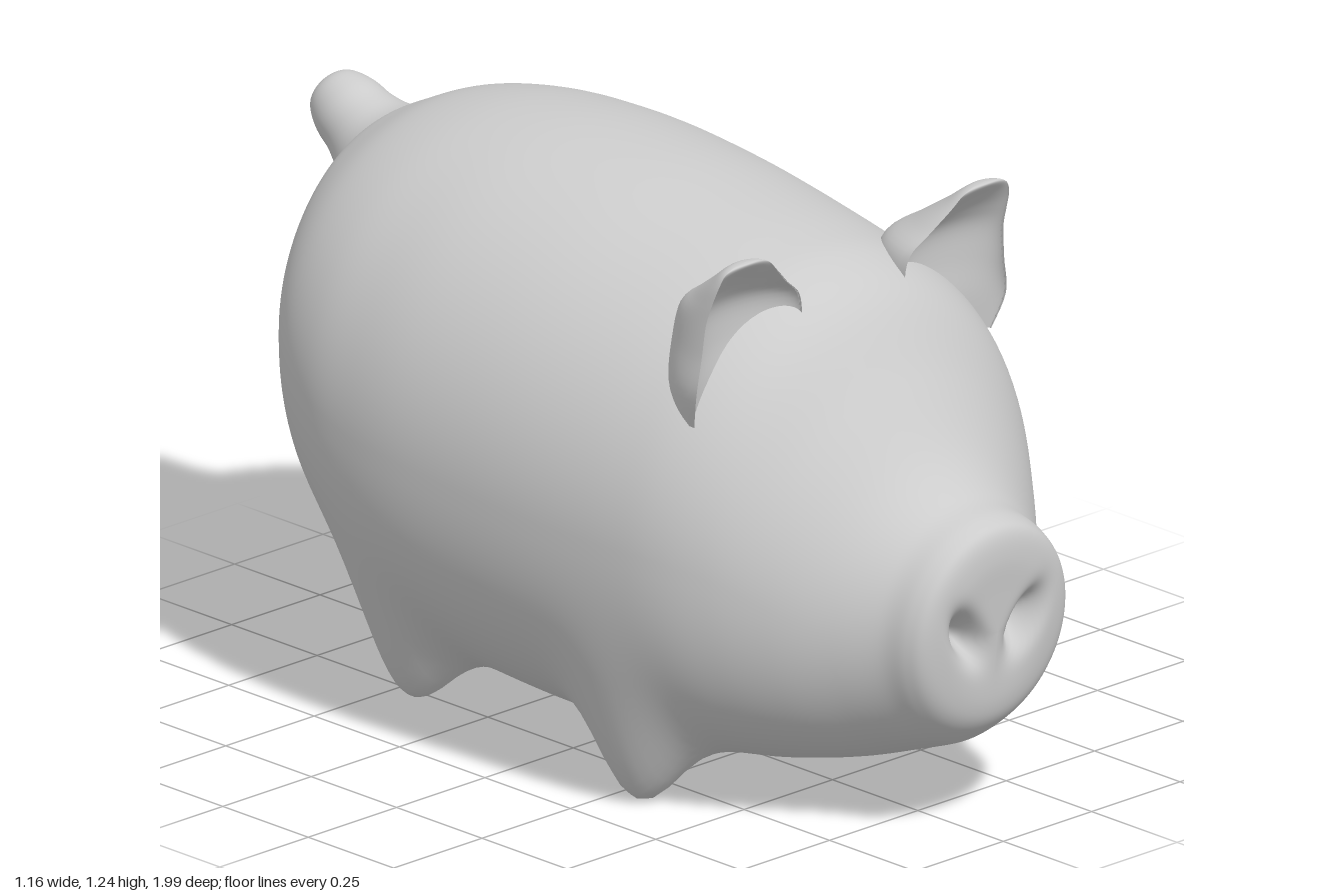
import * as THREE from 'three';

const material = new THREE.MeshStandardMaterial({ color: 0xcccccc, side: THREE.DoubleSide });
const { smoothstep, lerp } = THREE.MathUtils;

// Smoothly resample a table of cross-section rows, column by column
function resample(rows, steps) {
  const columns = rows[0].map((_, k) => new THREE.SplineCurve(rows.map(r => new THREE.Vector2(r[k], 0))));
  const count = (rows.length - 1) * steps;
  return Array.from({ length: count + 1 }, (_, i) => columns.map(c => c.getPoint(i / count).x));
}

// Skin closed rings; pointAt(row, angle) gives each corner as [x, y, z]
function loft(name, rows, segments, pointAt) {
  const positions = [], index = [];
  rows.forEach((row, i) => {
    for (let j = 0; j < segments; j++) {
      positions.push(...pointAt(row, (j / segments) * Math.PI * 2));
      if (i === rows.length - 1) continue;
      const a = i * segments + j, b = i * segments + (j + 1) % segments;
      index.push(a, a + segments, b, b, a + segments, b + segments);
    }
  });
  const geometry = new THREE.BufferGeometry();
  geometry.setAttribute('position', new THREE.Float32BufferAttribute(positions, 3));
  geometry.setIndex(index);
  geometry.computeVertexNormals();
  const mesh = new THREE.Mesh(geometry, material);
  mesh.name = name;
  return mesh;
}

// Body sections from snout to rump: z, half width, top, bottom
const BODY = [
  [0.985, 0, 0.45, 0.45], [0.985, 0.08, 0.53, 0.37], [0.985, 0.15, 0.61, 0.29],
  [0.972, 0.2, 0.665, 0.245], [0.94, 0.222, 0.69, 0.215], [0.88, 0.24, 0.715, 0.185],
  [0.8, 0.295, 0.785, 0.155], [0.7, 0.38, 0.92, 0.12], [0.6, 0.455, 1.06, 0.095],
  [0.5, 0.505, 1.125, 0.078], [0.38, 0.535, 1.155, 0.07], [0.2, 0.56, 1.185, 0.065],
  [0, 0.575, 1.215, 0.067], [-0.2, 0.58, 1.233, 0.085], [-0.35, 0.568, 1.235, 0.115],
  [-0.48, 0.542, 1.225, 0.19], [-0.6, 0.49, 1.2, 0.285], [-0.69, 0.415, 1.16, 0.4],
  [-0.76, 0.31, 1.12, 0.53], [-0.81, 0.19, 1.06, 0.68], [-0.835, 0.09, 0.98, 0.79],
  [-0.842, 0, 0.88, 0.88],
];

// Feet drawn down out of the belly: x, z, foot height
const FEET = [[0.35, 0.31, 0], [0.34, -0.36, 0.04]];

function bodyPoint([z, w, top, bottom], angle) {
  const c = Math.cos(angle), s = Math.sin(angle);
  const power = s < 0 ? lerp(2.3, 2, smoothstep(z, 0.5, 0.85)) : 2;
  const round = v => Math.sign(v) * Math.abs(v) ** (2 / power);
  const x = Math.max(w, 0) * round(c);
  let y = (top + bottom) / 2 + (top - bottom) / 2 * round(s);
  // stubby legs
  const ax = Math.abs(x), low = 1 - smoothstep(y, 0.35, 0.6);
  for (const [fx, fz, fy] of FEET) {
    const r2 = ((ax - fx) ** 2 + (z - fz) ** 2) / 0.0115;
    y = lerp(y, fy, low * Math.exp(-(r2 ** 1.1)));
  }
  // tilted snout face with two slanting nostrils
  const face = smoothstep(z, 0.88, 0.97);
  const nx = (ax - 0.078 - (y - 0.45) * 0.4) / 0.033, ny = (y - 0.455) / 0.05;
  z += face * ((y - 0.45) * 0.08 - 0.075 * Math.exp(-nx * nx - ny * ny));
  return [x, y, z];
}

// Ear sections from tip to root: y, centre x, rim z, half width, back depth, front hollow
const EAR = [
  [1.237, 0.338, 0.595, 0, 0, 0], [1.234, 0.338, 0.597, 0.035, 0.02, -0.008],
  [1.222, 0.336, 0.598, 0.062, 0.04, 0], [1.195, 0.328, 0.592, 0.083, 0.07, 0.022],
  [1.155, 0.31, 0.578, 0.107, 0.115, 0.045], [1.11, 0.288, 0.565, 0.133, 0.165, 0.06],
  [1.04, 0.288, 0.56, 0.14, 0.18, 0.06], [0.96, 0.31, 0.555, 0.128, 0.17, 0.05],
  [0.88, 0.32, 0.53, 0.1, 0.14, 0.03],
];

function ear(side) {
  return loft(side > 0 ? 'leftEar' : 'rightEar', resample(EAR, 5), 48,
    ([y, cx, z, w, back, hollow], angle) => {
      const s = Math.sin(angle);
      return [side * cx + Math.max(w, 0) * Math.cos(angle), y, z - (s > 0 ? back * s : -hollow * s)];
    });
}

// Flared, blunt tail pointing up and back
function tail() {
  const profile = new THREE.SplineCurve([
    [0.2, 0], [0.145, 0.06], [0.105, 0.11], [0.086, 0.16], [0.078, 0.21], [0.06, 0.255], [0.035, 0.275], [0, 0.28],
  ].map(p => new THREE.Vector2(...p))).getPoints(35);
  profile.forEach(p => { p.x = Math.max(p.x, 0); });
  const mesh = new THREE.Mesh(new THREE.LatheGeometry(profile, 40), material);
  mesh.name = 'tail';
  mesh.position.set(0, 0.975, -0.74);
  mesh.rotation.x = -1.04;
  return mesh;
}

export function createModel() {
  const pig = new THREE.Group();
  pig.name = 'pig';
  pig.add(loft('body', resample(BODY, 7), 128, bodyPoint), ear(1), ear(-1), tail());
  return pig;
}
